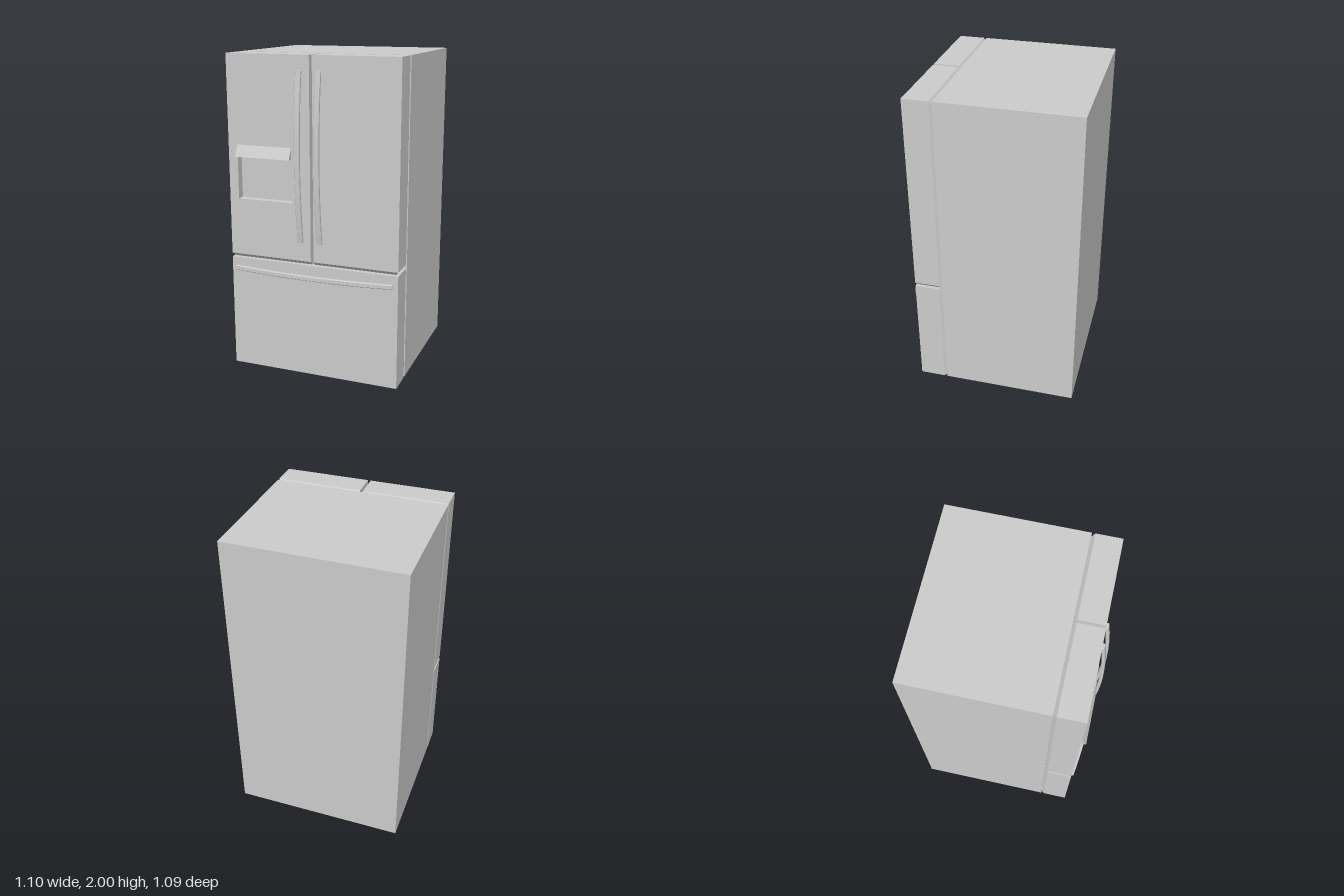
import * as THREE from 'three';

const mat = new THREE.MeshStandardMaterial({ color: 0xcccccc, flatShading: true });
const FRONT = 0.49, BACK = 0.33, BODY = 0.31, RECESS = 0.05;

function add(parent, name, geometry) {
  const mesh = new THREE.Mesh(geometry, mat);
  mesh.name = name;
  parent.add(mesh);
  return mesh;
}

// Box given by its limits; an optional rule moves its corners
function block(x0, x1, y0, y1, z0, z1, rule) {
  const g = new THREE.BoxGeometry(x1 - x0, y1 - y0, z1 - z0);
  g.translate((x0 + x1) / 2, (y0 + y1) / 2, (z0 + z1) / 2);
  if (rule) {
    const p = g.attributes.position, v = new THREE.Vector3();
    for (let i = 0; i < p.count; i++) {
      rule(v.fromBufferAttribute(p, i));
      p.setXYZ(i, v.x, v.y, v.z);
    }
    g.computeVertexNormals();
  }
  return g;
}

// Seal between a door and the cabinet, narrowing towards the cabinet
function seal(x0, x1, y0, y1, insetBottom) {
  return block(x0, x1, y0, y1, BODY, BACK, v => {
    if (v.z > BODY + 0.01) return;
    if (Math.abs(v.x) > 0.5) v.x -= Math.sign(v.x) * 0.013;
    v.y += v.y > (y0 + y1) / 2 ? -0.02 : insetBottom;
  });
}

// Upper door; the hole is the dispenser recess
function makeDoor(name, x0, x1, hole) {
  const door = new THREE.Group();
  door.name = name;
  const s = new THREE.Shape([[x0, 0.75], [x1, 0.75], [x1, 2], [x0, 2]].map(p => new THREE.Vector2(...p)));
  if (hole) {
    const [a, b, c, d] = hole;
    s.holes.push(new THREE.Path([[a, c], [a, d], [b, d], [b, c]].map(p => new THREE.Vector2(...p))));
  }
  const panel = new THREE.ExtrudeGeometry(s, { depth: RECESS, bevelEnabled: false });
  panel.translate(0, 0, FRONT - RECESS);
  add(door, 'doorFront', panel);
  add(door, 'doorBack', block(x0, x1, 0.75, 2, BACK, FRONT - RECESS));
  // chamfer under the front and outer side
  add(door, 'doorChamfer', block(x0, x1, 0.727, 0.75, BACK, FRONT, v => {
    if (v.y > 0.74) return;
    if (v.z > 0.4) v.z -= 0.025;
    if (Math.abs(v.x) > 0.5) v.x -= Math.sign(v.x) * 0.02;
  }));
  add(door, 'doorSeal', seal(x0, x1, 0.727, 2, 0));
  return door;
}

// Bowed bar along x, its ends touching z = 0
function handleGeometry(length, width) {
  const h = length / 2, n = 16, pts = [];
  const bow = (x, lift) => lift * (1 - (x / h) ** 2);
  for (let i = 0; i <= n; i++) {
    const x = -h + (length * i) / n;
    pts.push(new THREE.Vector2(x, bow(x, 0.038)));
  }
  for (let i = n; i >= 0; i--) {
    const x = -h + (length * i) / n;
    pts.push(new THREE.Vector2(x, 0.012 + bow(x, 0.038)));
  }
  const bevel = 0.004;
  const g = new THREE.ExtrudeGeometry(new THREE.Shape(pts), {
    depth: width - 2 * bevel, bevelThickness: bevel, bevelSize: bevel, bevelSegments: 1,
  });
  g.translate(0, 0, -(width - 2 * bevel) / 2);
  g.rotateX(Math.PI / 2); // bow now points to +z
  return g;
}

export function createModel() {
  const model = new THREE.Group();
  model.name = 'refrigerator';
  add(model, 'cabinet', block(-0.55, 0.55, 0, 2, -0.545, BODY));

  // Doors and freezer drawer
  model.add(makeDoor('rightDoor', -0.55, -0.009, [-0.49, -0.13, 1.11, 1.38]));
  model.add(makeDoor('leftDoor', 0.009, 0.55));
  add(model, 'drawer', block(-0.55, 0.55, 0, 0.725, BACK, FRONT));
  add(model, 'drawerSeal', seal(-0.55, 0.55, 0, 0.725, 0.01));

  // Sloping hood above the dispenser recess
  add(model, 'dispenserHood', block(-0.49, -0.13, 1.38, 1.45, FRONT, 0.525, v => {
    if (v.y > 1.4 && v.z > 0.5) v.z = FRONT + 0.001;
  }));

  // Bowed handles
  for (const [name, x] of [['rightDoorHandle', -0.073], ['leftDoorHandle', 0.051]]) {
    const handle = add(model, name, handleGeometry(1.035, 0.034));
    handle.rotation.z = Math.PI / 2;
    handle.position.set(x, 1.39, FRONT);
  }
  const drawerHandle = add(model, 'drawerHandle', handleGeometry(1.03, 0.03));
  drawerHandle.position.set(0, 0.658, FRONT);
  return model;
}
